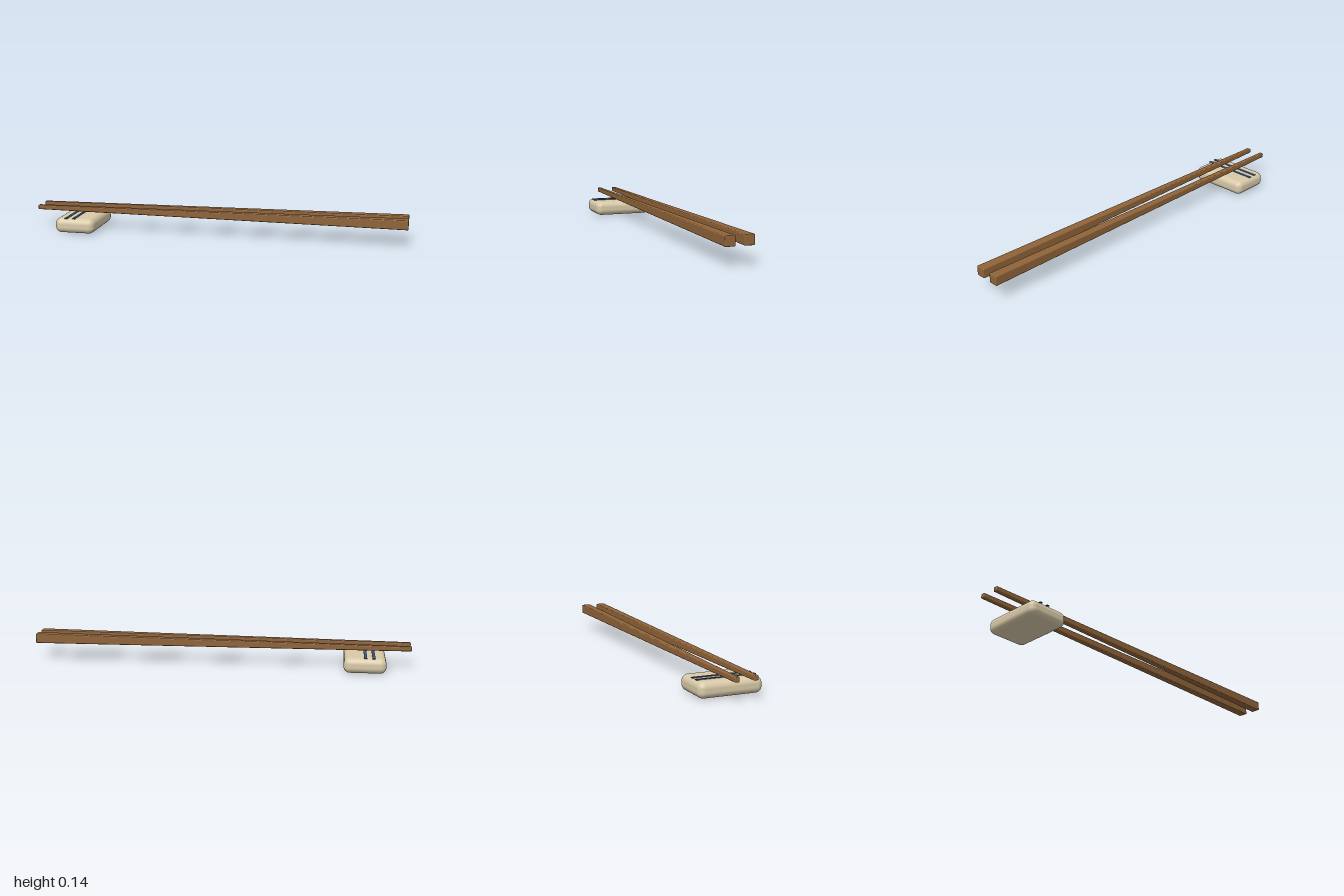
import * as THREE from 'three';
import { RoundedBoxGeometry } from 'three/addons/geometries/RoundedBoxGeometry.js';

const wood = new THREE.MeshStandardMaterial({ name: 'brown wood', color: 0x8f6339 });
const ceramic = new THREE.MeshStandardMaterial({ name: 'cream ceramic', color: 0xd8c9a8 });
const glaze = new THREE.MeshStandardMaterial({ name: 'blue glaze', color: 0x3d5478 });

function addMesh(parent, name, geometry, material, x, y, z) {
  const mesh = new THREE.Mesh(geometry, material);
  mesh.name = name;
  mesh.position.set(x, y, z);
  parent.add(mesh);
  return mesh;
}

// Softly edged square stick, narrowing from the +x handle to the -x tip
function stickGeometry() {
  const size = 0.051, tip = 0.024, radius = 0.005;
  const geometry = new RoundedBoxGeometry(2, size, size, 3, radius);
  const p = geometry.attributes.position;
  const inset = (size - tip) / 2;
  for (let i = 0; i < p.count; i++) {
    const t = (1 - p.getX(i)) / 2;
    // Move each side inward so the edge radius stays the same
    p.setY(i, p.getY(i) - Math.sign(p.getY(i)) * inset * t);
    p.setZ(i, p.getZ(i) - Math.sign(p.getZ(i)) * inset * t);
    // Slight rise toward the handle
    p.setY(i, p.getY(i) - 0.005 * t);
  }
  return geometry;
}

export function createModel() {
  const model = new THREE.Group();
  model.name = 'chopsticksOnRest';

  // Rest with two painted stripes
  const rest = new THREE.Group();
  rest.name = 'chopstickRest';
  rest.position.x = -0.76;
  model.add(rest);
  addMesh(rest, 'restBody', new RoundedBoxGeometry(0.218, 0.08, 0.328, 5, 0.032), ceramic, 0, 0.04, 0);
  for (const x of [-0.044, -0.002]) {
    addMesh(rest, 'stripe', new THREE.BoxGeometry(0.015, 0.004, 0.306), glaze, x, 0.081, 0);
  }

  // Pair of chopsticks
  const geometry = stickGeometry();
  addMesh(model, 'frontChopstick', geometry, wood, 0, 0.1185, 0.049);
  addMesh(model, 'backChopstick', geometry, wood, 0, 0.1185, -0.045);
  return model;
}
